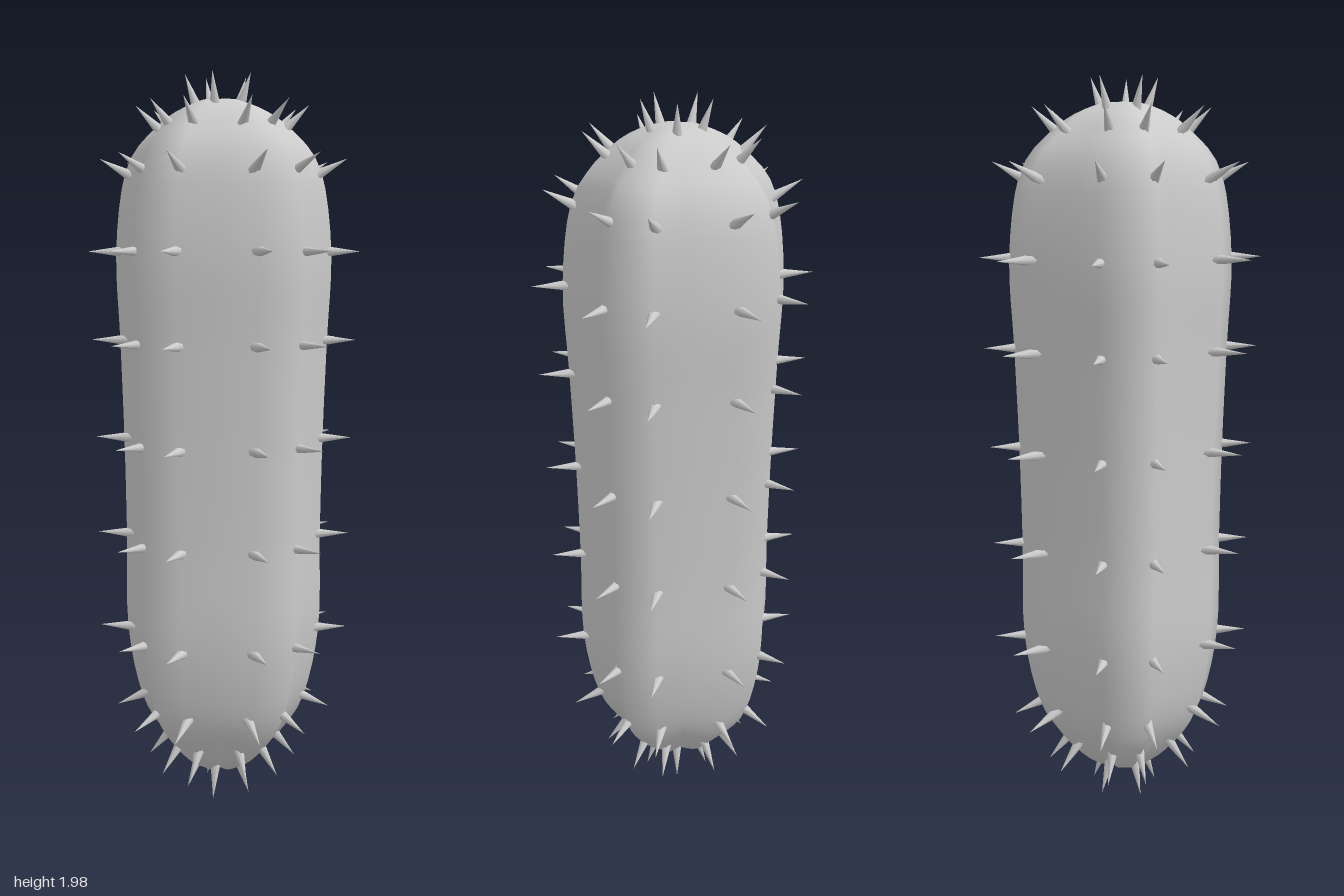
import * as THREE from 'three';

// Five-ribbed cross-section, [x, z], anticlockwise from the front rib
const OUTLINE = [
  [-0.06, 0.28], [0.08, 0.28], [0.138, 0.155], [0.255, 0.15], [0.295, 0.01],
  [0.213, -0.08], [0.22, -0.21], [0.11, -0.285], [0.01, -0.225], [-0.11, -0.285],
  [-0.225, -0.205], [-0.187, -0.08], [-0.29, 0.01], [-0.245, 0.15], [-0.11, 0.155],
];

// Profile from bottom to top: [outline scale, height]
const PROFILE = [
  [0.002, 0.08], [0.24, 0.092], [0.53, 0.165], [0.78, 0.28], [0.915, 0.48], [0.92, 0.75],
  [0.935, 1.02], [0.965, 1.29], [0.995, 1.53], [0.9, 1.74], [0.6, 1.86], [0.25, 1.92], [0.002, 1.93],
];

function createBody(material) {
  const curve = new THREE.CatmullRomCurve3(PROFILE.map(([s, y]) => new THREE.Vector3(s, y, 0)));
  const steps = 48, n = OUTLINE.length;
  const positions = [], indices = [];
  for (let j = 0; j <= steps; j++) {
    const p = curve.getPoint(j / steps);
    for (const [x, z] of OUTLINE) positions.push(x * p.x, p.y, z * p.x);
  }
  for (let j = 0; j < steps; j++) {
    for (let i = 0; i < n; i++) {
      const a = j * n + i, b = j * n + (i + 1) % n;
      indices.push(a, b, b + n, a, b + n, a + n);
    }
  }
  const geometry = new THREE.BufferGeometry();
  geometry.setAttribute('position', new THREE.Float32BufferAttribute(positions, 3));
  geometry.setIndex(indices);
  geometry.computeVertexNormals();
  const body = new THREE.Mesh(geometry, material);
  body.name = 'ribbedBody';
  return body;
}

function createSpines(material) {
  const spines = new THREE.Group();
  spines.name = 'spines';
  const cone = new THREE.ConeGeometry(0.017, 0.11, 8);
  cone.translate(0, 0.025, 0); // root sunk into the skin
  const up = new THREE.Vector3(0, 1, 0);

  // Tilt is the angle above the horizontal, in degrees
  const addSpine = (x, y, z, tilt) => {
    const t = THREE.MathUtils.degToRad(tilt);
    const r = Math.hypot(x, z);
    const dir = new THREE.Vector3(x / r * Math.cos(t), Math.sin(t), z / r * Math.cos(t));
    const spine = new THREE.Mesh(cone, material);
    spine.name = 'spine';
    spine.position.set(x, y, z);
    spine.quaternion.setFromUnitVectors(up, dir);
    spines.add(spine);
  };

  // Rows of ten, one spine on each rib edge
  const tilts = { 2: -50, 3: -25, 9: 28, 10: 45 };
  for (let row = 2; row <= 10; row++) {
    const [s, y] = PROFILE[row];
    OUTLINE.forEach(([x, z], i) => {
      if (i % 3 !== 2) addSpine(x * s, y, z * s, tilts[row] || 0);
    });
  }

  // Five spines around each end
  for (let k = 0; k < 5; k++) {
    const a = THREE.MathUtils.degToRad(27 + 72 * k);
    const x = 0.066 * Math.sin(a), z = 0.066 * Math.cos(a);
    addSpine(x, 1.918, z, 70);
    addSpine(x, 0.092, z, -70);
  }
  return spines;
}

export function createModel() {
  const model = new THREE.Group();
  model.name = 'cactus';
  const material = new THREE.MeshStandardMaterial({ color: 0xcccccc });
  model.add(createBody(material), createSpines(material));
  return model;
}
